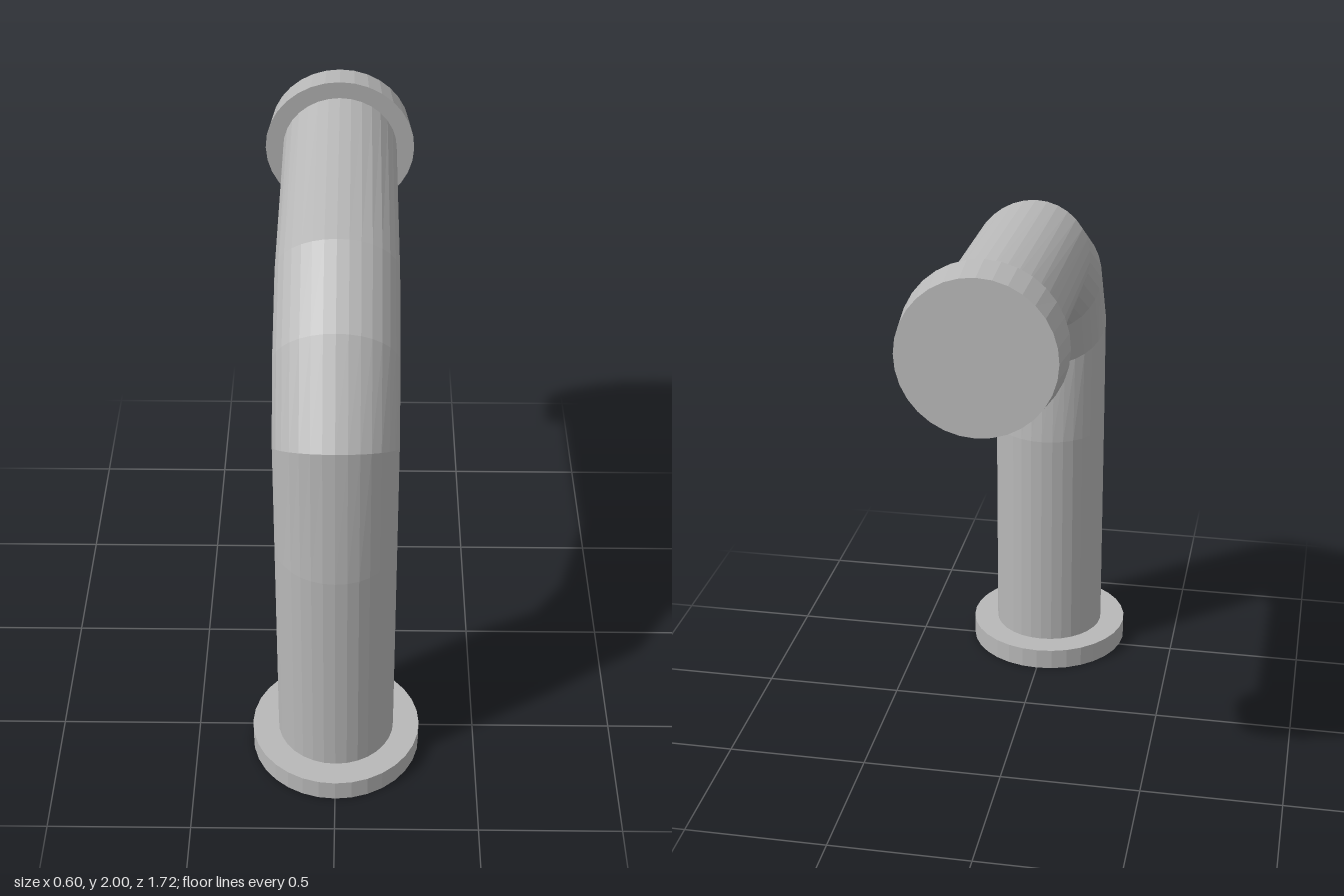
import * as THREE from 'three';

const SIDES = 32;

// A ring runs through two opposite points [z, y] in the side plane;
// radius is its half width in x.
function ring(p, q, radius) {
  return {
    z: (p[0] + q[0]) / 2, y: (p[1] + q[1]) / 2,
    dz: (p[0] - q[0]) / 2, dy: (p[1] - q[1]) / 2, radius,
  };
}

function ringPoint(r, j) {
  const t = (j / SIDES) * Math.PI * 2;
  return new THREE.Vector3(
    Math.sin(t) * r.radius,
    r.y + Math.cos(t) * r.dy,
    r.z + Math.cos(t) * r.dz,
  );
}

// Skin consecutive rings with faceted faces
function loft(rings) {
  const points = [];
  for (let i = 0; i < rings.length - 1; i++) {
    for (let j = 0; j < SIDES; j++) {
      const a = ringPoint(rings[i], j);
      const b = ringPoint(rings[i], j + 1);
      const c = ringPoint(rings[i + 1], j + 1);
      const d = ringPoint(rings[i + 1], j);
      if (rings[i].radius > 0) points.push(a, b, c);
      if (rings[i + 1].radius > 0) points.push(a, c, d);
    }
  }
  const geometry = new THREE.BufferGeometry().setFromPoints(points);
  geometry.computeVertexNormals();
  return geometry;
}

export function createModel() {
  const group = new THREE.Group();
  const metal = new THREE.MeshStandardMaterial({ color: 0xb8b8b8, side: THREE.DoubleSide });
  metal.name = 'grey metal';

  const add = (name, rings) => {
    const mesh = new THREE.Mesh(loft(rings), metal);
    mesh.name = name;
    group.add(mesh);
  };

  // Bent pipe, from the base up and back to the cap
  const R = 0.207;
  add('pipe', [
    ring([0.769, 0.07], [0.355, 0.07], R),
    ring([0.769, 0.928], [0.355, 0.928], R),
    ring([0.738, 1.443], [0.387, 1.231], R),
    ring([0.52, 1.752], [0.324, 1.388], R),
    ring([0.218, 1.912], [0.022, 1.548], R),
    ring([-0.702, 1.937], [-0.727, 1.523], R),
  ]);

  // Base flange with a round opening
  const flat = (radius, y) => ring([0.562 + radius, y], [0.562 - radius, y], radius);
  add('baseFlange', [
    flat(0.172, 0), flat(0.3, 0), flat(0.3, 0.078), flat(0.172, 0.078), flat(0.172, 0),
  ]);

  // Tapered cap closing the far end
  add('endCap', [
    ring([-0.716, 1.73], [-0.716, 1.73], 0),
    ring([-0.701, 2.0], [-0.731, 1.459], 0.271),
    ring([-0.832, 1.985], [-0.861, 1.477], 0.256),
    ring([-0.8465, 1.731], [-0.8465, 1.731], 0),
  ]);

  return group;
}
